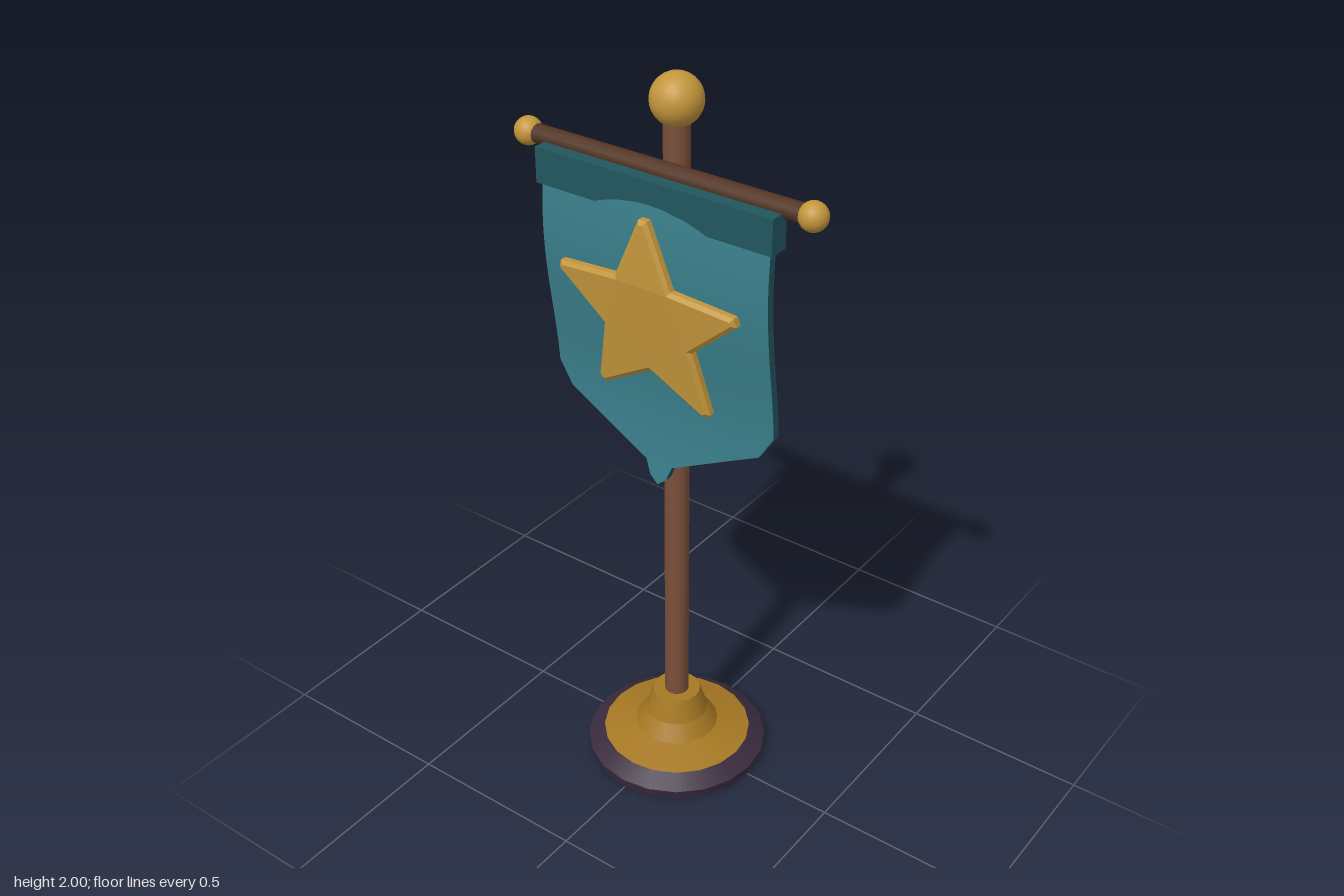
import * as THREE from 'three';

const paint = (name, color) => {
  const m = new THREE.MeshStandardMaterial({ color });
  m.name = name;
  return m;
};

export function createModel() {
  const gold = paint('gold', 0xc4963c);
  const darkGold = paint('dark gold', 0xa67823);
  const plum = paint('plum', 0x3a2b3e);
  const wood = paint('wood', 0x7a4f3a);
  const darkWood = paint('dark wood', 0x523524);
  const teal = paint('teal', 0x3a7f8b);
  const darkTeal = paint('dark teal', 0x22565f);

  const model = new THREE.Group();
  model.name = 'standingBanner';
  const add = (name, geometry, material, x = 0, y = 0, z = 0, parent = model) => {
    const mesh = new THREE.Mesh(geometry, material);
    mesh.name = name;
    mesh.position.set(x, y, z);
    parent.add(mesh);
    return mesh;
  };

  // Round stepped base: each ring is [bottom y, bottom radius, top y, top radius]
  const base = new THREE.Group();
  base.name = 'base';
  model.add(base);
  const ring = (name, material, [y0, r0, y1, r1], closed) => add(name,
    new THREE.CylinderGeometry(r1, r0, y1 - y0, 20, 1, !closed), material, 0, (y0 + y1) / 2, 0, base);
  ring('baseFoot', plum, [0, 0.243, 0.03, 0.25], true);
  ring('baseRim', plum, [0.03, 0.25, 0.06, 0.205], true);
  ring('basePlate', darkGold, [0.06, 0.205, 0.085, 0.115], true);
  ring('baseNeckLower', darkGold, [0.085, 0.115, 0.13, 0.086]);
  ring('baseNeckUpper', darkGold, [0.13, 0.086, 0.195, 0.065], true);

  // Pole, crossbar and round finials
  add('pole', new THREE.CylinderGeometry(0.033, 0.033, 1.72, 16), wood, 0, 1.05, 0);
  add('poleFinial', new THREE.SphereGeometry(0.065, 24, 16), gold, 0, 1.935, 0);
  add('crossbar', new THREE.CylinderGeometry(0.024, 0.024, 0.8, 12).rotateZ(Math.PI / 2), darkWood, 0, 1.775, 0.05);
  for (const side of [-1, 1]) {
    add(side > 0 ? 'leftFinial' : 'rightFinial', new THREE.SphereGeometry(0.036, 20, 14), gold, side * 0.408, 1.775, 0.05);
  }

  // Hem sleeve under the crossbar
  add('hem', new THREE.BoxGeometry(0.68, 0.092, 0.056), darkTeal, 0, 1.724, 0.08);

  // Wave of the hanging cloth, shared by everything lying on it
  const wave = (x, y) => 0.068 + 0.023 * Math.cos((1.58 - y) * Math.PI / 0.48)
    + 0.014 * (1 - (x / 0.33) ** 2);
  const bend = (geometry) => {
    const p = geometry.attributes.position;
    for (let i = 0; i < p.count; i++) p.setZ(i, p.getZ(i) + wave(p.getX(i), p.getY(i)));
    geometry.computeVertexNormals();
    return geometry;
  };

  // Cloth: a thin box whose columns end on the pointed lower outline
  const outline = [[0, 0.925], [0.025, 0.945], [0.04, 0.985], [0.1, 1.014],
    [0.16, 1.043], [0.22, 1.072], [0.29, 1.105], [0.33, 1.17]];
  const half = outline.length - 1;
  const clothGeometry = new THREE.BoxGeometry(2 * half, 1, 0.022, 2 * half, 20, 1);
  const p = clothGeometry.attributes.position;
  for (let i = 0; i < p.count; i++) {
    const column = Math.round(p.getX(i));
    const [x, bottom] = outline[Math.abs(column)];
    p.setX(i, Math.sign(column) * x);
    p.setY(i, THREE.MathUtils.lerp(bottom, 1.72, p.getY(i) + 0.5));
  }
  add('cloth', bend(clothGeometry), [darkTeal, darkTeal, darkTeal, darkTeal, teal, darkTeal]);

  // Five-pointed star with blunt tips and bevelled edges
  const corner = (i) => {
    const r = i % 2 ? 0.126 : 0.274;
    const a = Math.PI / 2 + i * Math.PI / 5;
    return new THREE.Vector2(r * Math.cos(a), 1.41 + r * Math.sin(a));
  };
  const points = [];
  for (let i = 0; i < 10; i += 2) {
    const tip = corner(i);
    points.push(tip.clone().lerp(corner(i + 9), 0.07), tip.clone().lerp(corner(i + 1), 0.07), corner(i + 1));
  }
  const starGeometry = new THREE.ExtrudeGeometry(new THREE.Shape(points), {
    depth: 0.016, bevelThickness: 0.008, bevelSize: 0.01, bevelSegments: 1,
  });
  add('star', bend(starGeometry.translate(0, 0, 0.018)), gold);

  // Small gold fixing patch behind the star
  const patch = new THREE.CircleGeometry(0.045, 6).rotateY(Math.PI).translate(0, 1.43, -0.0135);
  add('starBackPatch', bend(patch), gold);

  return model;
}
